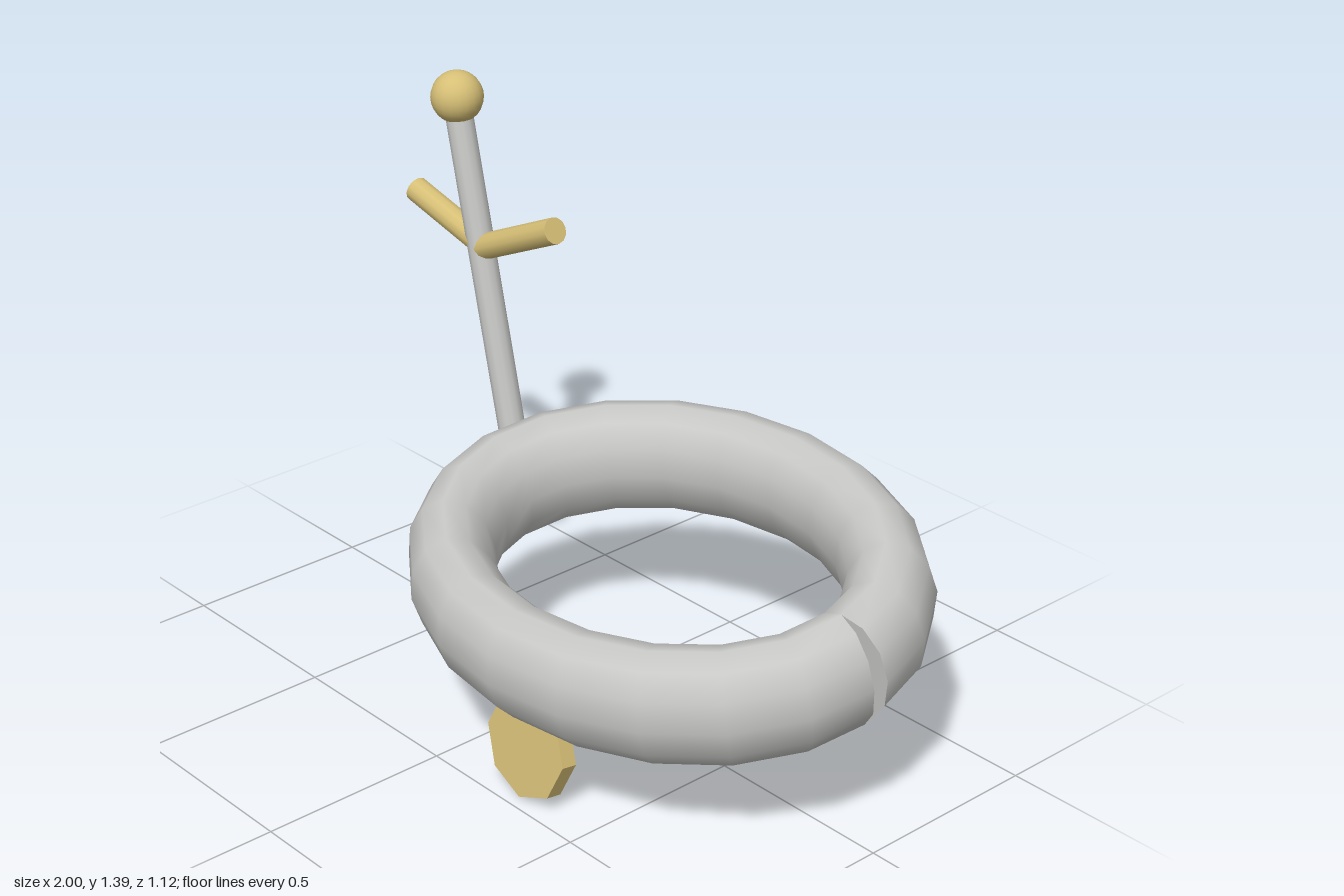
import * as THREE from 'three';

const silver = new THREE.MeshStandardMaterial({ color: 0xc8c8c6 });
silver.name = 'silver';
const gold = new THREE.MeshStandardMaterial({ color: 0xd6bf76 });
gold.name = 'gold';

function add(parent, name, geometry, material) {
  const mesh = new THREE.Mesh(geometry, material);
  mesh.name = name;
  parent.add(mesh);
  return mesh;
}

// Cylinder running between two points
function rod(parent, name, from, to, radius, sides, material) {
  const a = new THREE.Vector3(...from), b = new THREE.Vector3(...to);
  const dir = b.clone().sub(a);
  const mesh = add(parent, name, new THREE.CylinderGeometry(radius, radius, dir.length(), sides), material);
  mesh.position.copy(a).add(b).multiplyScalar(0.5);
  mesh.quaternion.setFromUnitVectors(new THREE.Vector3(0, 1, 0), dir.normalize());
  return mesh;
}

// Oval ring with an oval section; its two ends splay apart into a thin wedge
function splitRingGeometry() {
  const steps = 20, sides = 12;
  const rx = 0.61, rz = 0.46, halfWidth = 0.11, halfHeight = 0.151, splay = 0.2;
  const pos = [], index = [];

  function section(i) {
    const t = (i / steps) * Math.PI * 2;
    let n = Math.atan2(Math.sin(t) / rz, Math.cos(t) / rx);
    if (i === 0) n = splay;
    if (i === steps) n = -splay;
    for (let j = 0; j < sides; j++) {
      const v = (j / sides) * Math.PI * 2, w = halfWidth * Math.cos(v);
      pos.push(rx * Math.cos(t) + w * Math.cos(n), halfHeight * Math.sin(v), rz * Math.sin(t) + w * Math.sin(n));
    }
  }

  for (let i = 0; i <= steps; i++) section(i);
  for (let i = 0; i < steps; i++) {
    for (let j = 0; j < sides; j++) {
      const k = (j + 1) % sides;
      const a = i * sides + j, b = i * sides + k, c = a + sides, d = b + sides;
      index.push(a, b, c, b, d, c);
    }
  }

  // End caps with their own vertices, for sharp edges
  for (const i of [0, steps]) {
    const s = pos.length / 3;
    section(i);
    for (let j = 1; j < sides - 1; j++) {
      if (i === 0) index.push(s, s + j + 1, s + j);
      else index.push(s, s + j, s + j + 1);
    }
  }

  const g = new THREE.BufferGeometry();
  g.setAttribute('position', new THREE.Float32BufferAttribute(pos, 3));
  g.setIndex(index);
  g.computeVertexNormals();
  return g;
}

export function createModel() {
  const model = new THREE.Group();
  model.name = 'splitRingAndPin';

  // Tilted ring
  const ring = add(model, 'splitRing', splitRingGeometry(), silver);
  ring.position.set(0.28, 0.455, 0);
  ring.rotation.x = 0.168;

  // Octagonal tag under the front of the ring
  const disc = new THREE.CylinderGeometry(0.137, 0.137, 0.042, 8);
  disc.rotateX(Math.PI / 2);
  const tag = add(model, 'tag', disc.toNonIndexed(), gold);
  tag.geometry.computeVertexNormals();
  tag.position.set(0.28, 0.143, 0.43);
  tag.rotation.x = -0.15;

  // Leaning pin with a ball top and two raised arms
  const pin = new THREE.Group();
  pin.name = 'pin';
  pin.position.z = -0.257;
  model.add(pin);
  rod(pin, 'pinShaft', [-0.597, 0.405, 0], [-0.81, 1.3, 0], 0.037, 12, silver);
  rod(pin, 'rightArm', [-0.715, 0.938, 0], [-0.992, 1.01, 0], 0.035, 12, gold);
  rod(pin, 'leftArm', [-0.71, 0.93, 0], [-0.422, 1.062, 0], 0.035, 12, gold);
  add(pin, 'pinBall', new THREE.SphereGeometry(0.07, 20, 14), gold).position.set(-0.81, 1.32, 0);

  return model;
}
